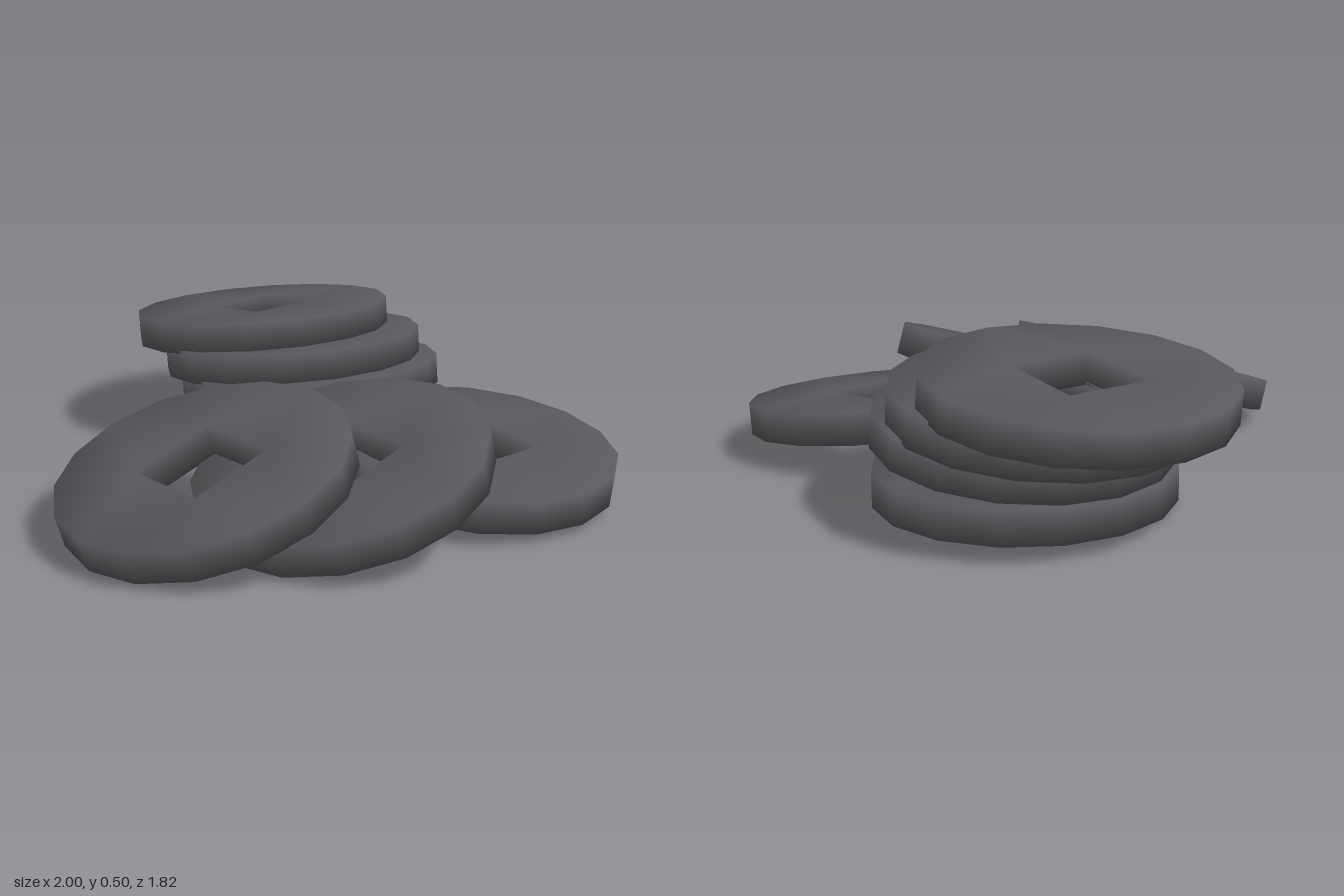
import * as THREE from 'three';

const SIDES = 16, RADIUS = 0.466, HALF = 0.0535, HOLE = 0.145;

// Sixteen-sided disc with a square hole; shared vertices give soft normals across the edges
function discGeometry() {
  const pos = [], idx = [];
  for (const y of [HALF, -HALF]) {
    for (let i = 0; i < SIDES; i++) {
      const a = (i / SIDES) * Math.PI * 2;
      pos.push(RADIUS * Math.cos(a), y, RADIUS * Math.sin(a));
    }
    for (let k = 0; k < 4; k++) {
      const a = (k + 0.5) * Math.PI / 2;
      pos.push(HOLE * Math.SQRT2 * Math.cos(a), y, HOLE * Math.SQRT2 * Math.sin(a));
    }
  }
  const LAYER = SIDES + 4;
  // Same triangle on the top and, flipped, on the bottom
  const both = (a, b, c) => idx.push(a, b, c, a + LAYER, c + LAYER, b + LAYER);
  for (let k = 0; k < 4; k++) {
    const c = SIDES + k, next = SIDES + (k + 1) % 4;
    for (let j = 0; j < 4; j++) both(c, (k * 4 + j + 1) % SIDES, k * 4 + j);
    both(c, next, (k * 4 + 4) % SIDES);
    // Wall of the hole
    idx.push(c, c + LAYER, next, next, c + LAYER, next + LAYER);
  }
  // Outer rim
  for (let i = 0; i < SIDES; i++) {
    const n = (i + 1) % SIDES;
    idx.push(i, n, i + LAYER, n, n + LAYER, i + LAYER);
  }
  const g = new THREE.BufferGeometry();
  g.setAttribute('position', new THREE.Float32BufferAttribute(pos, 3));
  g.setIndex(idx);
  g.computeVertexNormals();
  return g;
}

export function createModel() {
  const model = new THREE.Group();
  model.name = 'coinPile';
  const metal = new THREE.MeshStandardMaterial({ color: 0x58585c });
  metal.name = 'darkMetal';
  const geometry = discGeometry();

  // name, centre x, y, z, tilt about x and z in degrees
  const coins = [
    ['stackCoinBottom', -0.27, 0.068, -0.445, 0, 0],
    ['stackCoinSecond', -0.27, 0.23, -0.445, 0, 6.5],
    ['stackCoinThird', -0.365, 0.317, -0.445, 0, 6.5],
    ['stackCoinTop', -0.533, 0.395, -0.445, 0, 6.5],
    ['looseCoin', 0.532, 0.135, -0.445, 0, -6.5],
    ['leaningCoinBack', 0.485, 0.195, 0.1, 17.5, 0],
    ['leaningCoinFront', 0.25, 0.195, 0.445, 17.5, 0],
  ];
  for (const [name, x, y, z, rx, rz] of coins) {
    const coin = new THREE.Mesh(geometry, metal);
    coin.name = name;
    coin.position.set(x, y, z);
    coin.rotation.set(THREE.MathUtils.degToRad(rx), 0, THREE.MathUtils.degToRad(rz));
    model.add(coin);
  }
  return model;
}
